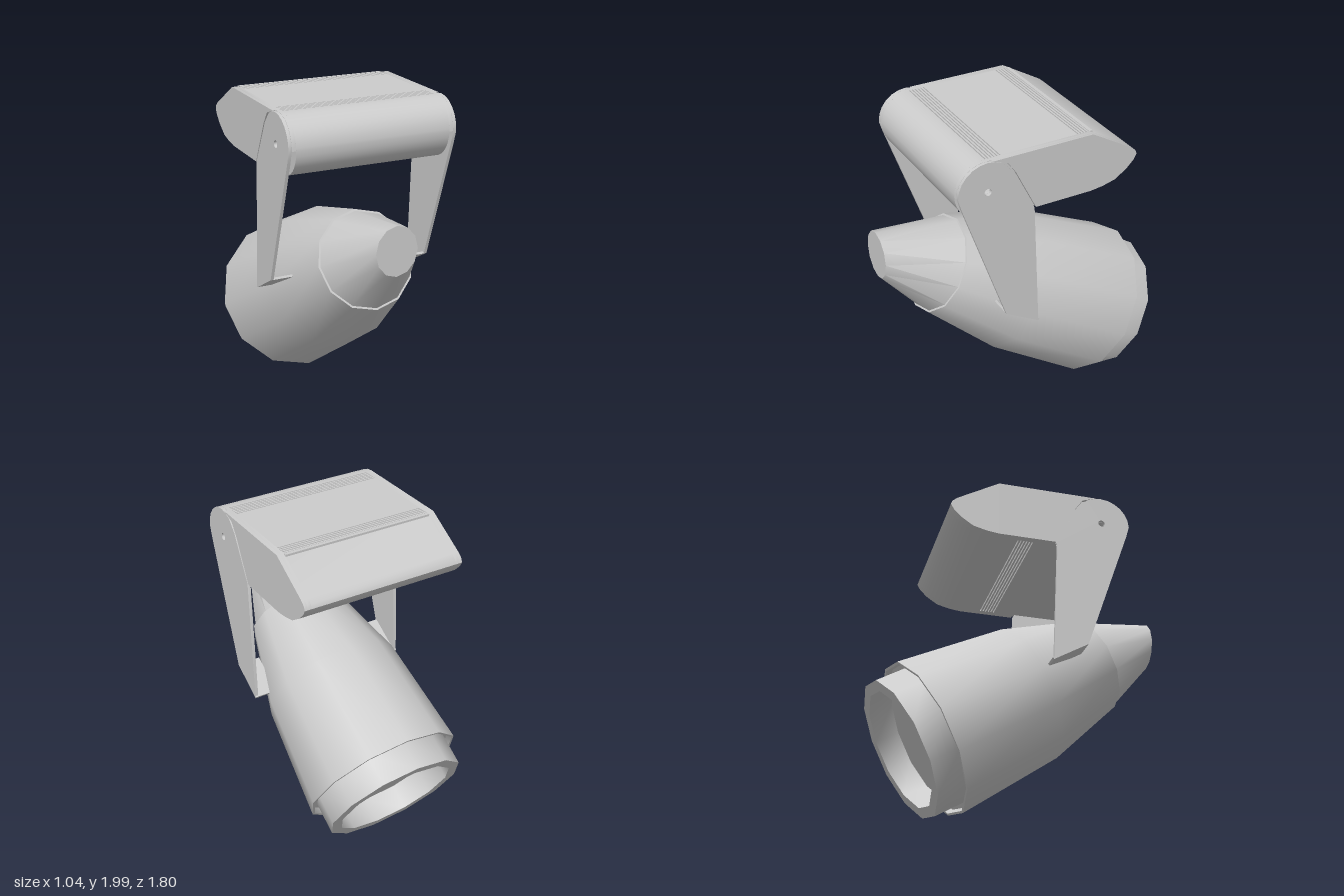
import * as THREE from 'three';
import { toCreasedNormals } from 'three/addons/utils/BufferGeometryUtils.js';

const PIVOT = { z: 0.44, y: 1.82, r: 0.18 };

export function createModel() {
  const model = new THREE.Group();
  const material = new THREE.MeshStandardMaterial({ color: 0xcccccc, side: THREE.DoubleSide });

  function add(name, geometry) {
    const mesh = new THREE.Mesh(toCreasedNormals(geometry, 0.6), material);
    mesh.name = name;
    model.add(mesh);
  }

  // Extrude a [z, y] side profile from x0 to x1, optionally with the pivot hole
  function slab(name, profile, x0, x1, hole) {
    const shape = new THREE.Shape(profile.map(([z, y]) => new THREE.Vector2(z, y)));
    if (hole) shape.holes.push(new THREE.Path().absarc(PIVOT.z, PIVOT.y, 0.022, 0, Math.PI * 2, true));
    const g = new THREE.ExtrudeGeometry(shape, { depth: x1 - x0, bevelEnabled: false, curveSegments: 6 });
    g.rotateY(-Math.PI / 2).translate(x1, 0, 0);
    add(name, g);
  }

  // Arc of the front drum between two angles (degrees, 0 = front, 90 = top)
  function arc(from, to, radius = PIVOT.r, steps = 8) {
    return Array.from({ length: steps + 1 }, (_, i) => {
      const a = THREE.MathUtils.degToRad(from + (to - from) * i / steps);
      return [PIVOT.z + radius * Math.cos(a), PIVOT.y + radius * Math.sin(a)];
    });
  }

  // Row of six narrow vent grooves cut into a horizontal face, heading along dir
  function grooves(z, y, depth, dir) {
    const points = [];
    for (let i = 0; i < 6; i++) {
      const a = z + dir * i * 0.018, b = a + dir * 0.007;
      points.push([a, y], [a, y - depth], [b, y - depth], [b, y]);
    }
    return points;
  }

  // Gear housing: grooved middle, plain ends, and wide cheeks behind the arms
  const tail = [[-0.22, 2], [-0.48, 1.85], [-0.51, 1.825], [-0.52, 1.8], [-0.5, 1.765],
    [-0.455, 1.72], [-0.38, 1.67], [-0.3, 1.65], [-0.22, 1.64]];
  const middle = [
    ...arc(-90, 0), ...arc(5, 90), ...grooves(0.435, 2, 0.02, -1), ...grooves(-0.145, 2, 0.02, -1),
    ...tail, ...grooves(-0.09, 1.64, -0.02, 1), [0.15, 1.64],
  ];
  const end = [...arc(0, 90), ...tail, [0.15, 1.64], [0.28, 1.82]];
  const cheek = [[0.41, 2], ...tail, [0.14, 1.64], [0.27, 1.9], [0.32, 1.97]];
  slab('housing', middle, -0.475, 0.475, true);

  // Arm with rounded head, and the foot folded inward from its lower edge
  const arm = [[0.115, 0.845], [0.33, 0.97], [0.6, 1.75], ...arc(0, 120),
    [0.29, 1.91], [0.15, 1.64]];
  const foot = [[0.115, 0.845], [0.33, 0.97], [0.323, 0.982], [0.108, 0.857]];
  for (const [side, s] of [['left', 1], ['right', -1]]) {
    const part = (name, profile, a, b, hole) =>
      slab(`${side}${name}`, profile, Math.min(s * a, s * b), Math.max(s * a, s * b), hole);
    part('HousingEnd', end, 0.475, 0.5, true);
    part('HousingCheek', cheek, 0.5, 0.519);
    part('Arm', arm, 0.501, 0.52, true);
    part('ArmFoot', foot, 0.38, 0.52);
  }

  // Lamp head: twelve-sided lathes along an axis tilted 30 degrees downward
  const TILT = Math.PI / 3;
  const lathe = profile => new THREE.LatheGeometry(profile.map(([r, s]) => new THREE.Vector2(r, s)), 12);
  const place = g => g.rotateX(TILT).translate(0, 0.39, -0.68);

  add('lens', place(lathe([[0, 0.16], [0.385, 0.16]])));
  add('frontRim', place(lathe([[0.385, 0.16], [0.375, 0], [0.443, 0], [0.443, 0.2]])));
  add('lampBody', place(lathe([[0.44, 0.2], [0.475, 0.2], [0.483, 0.161], [0.497, 0.161],
    [0.441, 0.863], [0.303, 1.392], [0.27, 1.392]])));

  // Nose cone, whose end is cut upright instead of square to the axis
  const nose = lathe([[0.294, 1.385], [0.13, 1.8], [0, 1.8]]);
  const local = nose.attributes.position.clone();
  place(nose);
  for (let i = 0; i < local.count; i++) {
    if (local.getY(i) < 1.7) continue;
    const lz = local.getZ(i);
    nose.attributes.position.setXYZ(i, local.getX(i), 1.265 - lz * 1.15, 0.9 + lz * 0.02);
  }
  add('noseCone', nose);

  return model;
}
